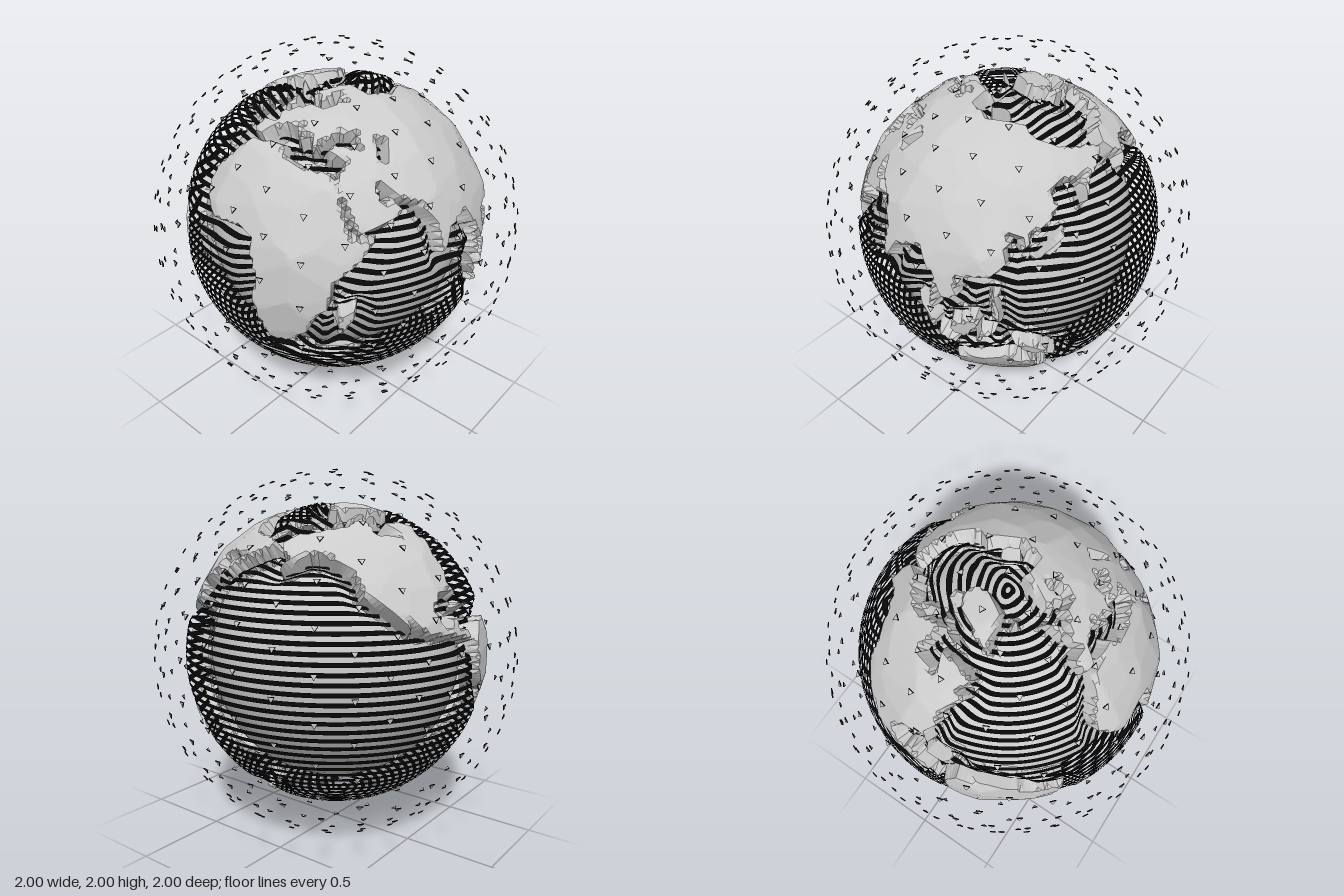
import * as THREE from 'three';
import { mergeGeometries, mergeVertices } from 'three/addons/utils/BufferGeometryUtils.js';

const RAD = Math.PI / 180;
const TILT = 16 * RAD, TOP = 0.83, FLOOR = 0.72, CORE = 0.69;

// Coastlines as longitude, latitude pairs
const LANDS = {
  africa: [-17, 15, -17, 21, -10, 30, -6, 35.5, 10, 37, 11, 33.5, 20, 31, 32, 31, 35, 27, 39, 18, 43, 11.5, 51, 12, 47, 4, 40, -4, 40, -15,
    35, -20, 35, -25, 31, -30, 26, -34, 19, -34.5, 15, -27, 12, -17, 13, -9, 9, 0, 9, 4, 5, 6, -8, 4.5, -13, 9],
  europe: [-9, 37, -9, 43, -1, 44, -4, 48, 4, 52, 9, 54, 9, 57, 11, 54, 20, 55, 24, 59, 30, 60, 22, 61, 25, 65, 18, 62, 17, 58, 13, 56,
    10, 59, 6, 58, 5, 62, 14, 68, 25, 71, 40, 67, 44, 66, 55, 69, 65, 69, 65, 40, 45, 37, 41, 42, 37, 45, 39, 47, 33, 45, 30, 46,
    28, 42, 23, 40, 24, 37.5, 22, 37, 19, 41, 13, 45, 18, 40, 16, 38, 10, 44, 4, 43, 0, 40, -2, 37],
  asia: [55, 69, 68, 69, 73, 72, 80, 73, 100, 77, 113, 74, 130, 72, 150, 71, 170, 70, 180, 69, 190, 66, 178, 63, 170, 60, 163, 58, 157, 51,
    156, 57, 163, 61, 155, 59, 142, 59, 136, 54, 141, 51, 135, 44, 129, 41, 129, 36, 126, 35, 125, 39, 118, 39, 122, 37, 120, 35,
    122, 30, 118, 24, 110, 21, 106, 20, 109, 13, 105, 9, 100, 13, 103, 2, 100, 5, 98, 16, 94, 17, 90, 22, 86, 20, 80, 15, 80, 10,
    77, 8, 73, 18, 70, 21, 66, 25, 57, 26, 50, 30, 48, 30, 52, 24, 56, 26, 60, 22, 52, 16, 44, 12.7, 39, 21, 34, 28, 34, 31,
    36, 36, 30, 36, 27, 38, 30, 41, 41, 41, 44, 46, 52, 52],
  northAmerica: [-168, 66, -156, 71, -140, 70, -125, 70, -110, 68, -95, 70, -82, 69, -88, 64, -94, 59, -82, 55, -79, 52, -77, 62, -66, 59,
    -56, 52, -66, 49, -60, 46, -70, 43, -74, 40, -76, 35, -81, 31, -80, 25.5, -83, 29, -90, 30, -97, 27, -97, 21, -94, 18, -90, 21,
    -87, 21, -88, 16, -83, 14, -82, 9, -77, 8.5, -80, 7.5, -86, 11, -95, 16, -105, 20, -112, 29, -110, 23, -117, 33, -124, 40,
    -124, 48, -133, 57, -145, 60, -152, 58, -164, 55, -158, 59, -165, 62],
  southAmerica: [-78, 8, -72, 12, -62, 10, -51, 4, -50, 0, -44, -2.5, -35, -6, -39, -15, -41, -22, -48, -26, -54, -34, -58, -38, -65, -42,
    -66, -48, -68, -54, -74, -52, -73, -40, -71, -30, -70, -18, -76, -14, -81, -5, -80, 0],
  greenland: [-45, 60, -53, 66, -55, 70, -68, 76, -60, 82, -30, 83, -18, 78, -22, 70, -38, 65],
  baffin: [-65, 62, -78, 72, -90, 74, -80, 70, -72, 65],
  ellesmere: [-90, 77, -75, 78, -62, 82, -85, 82],
  victoria: [-117, 70, -105, 69, -103, 73, -118, 73],
  australia: [114, -22, 122, -17, 130, -12, 136, -12, 135, -15, 140, -17.5, 142, -11, 146, -19, 153, -26, 150, -37, 144, -38.5,
    138, -34, 131, -31.5, 123, -34, 115, -34],
  newGuinea: [131, -1, 141, -3, 150, -10, 143, -8.5, 138, -8],
  borneo: [109, 1, 117, 7, 119, 4, 116, -4, 110, -3],
  sumatra: [95, 5.5, 104, -2, 105, -6, 100, -1],
  java: [105, -6, 114, -7, 114, -9, 106, -8],
  sulawesi: [119, -5, 120, 1, 125, 1.5, 121, -2, 122, -5],
  philippines: [120, 18, 122, 18, 126, 7, 122, 9],
  japan: [130, 32, 136, 36, 140, 41, 145, 44, 141, 36, 135, 34],
  madagascar: [44, -22, 44, -16, 49, -12, 50, -16, 47, -25],
  britain: [-5, 50, 1, 52, -2, 57, -5, 58.5],
  iceland: [-23, 65, -15, 66, -18, 63.5],
  newZealand: [167, -46, 173, -35, 178, -38, 171, -45],
  cuba: [-84, 22.5, -80, 23, -70, 19.5, -75, 19.5],
  arcticIsland: [52, 71, 56, 71, 68, 77, 60, 76],
  antarctica: [0, -70, 30, -69, 60, -67, 100, -66, 140, -67, 165, -71, 165, -100, 0, -100],
};
const INLAND_SEA = [48, 46, 53, 46, 53, 37, 49, 38];

// Signed distance in degrees to one outline, positive inside
function outlineDistance(lon, lat, pts) {
  const k = Math.max(0.05, Math.cos(lat * RAD));
  let inside = false, best = Infinity;
  for (let i = 0, j = pts.length - 2; i < pts.length; j = i, i += 2) {
    const ax = (pts[j] - lon) * k, ay = pts[j + 1] - lat;
    const dx = (pts[i] - pts[j]) * k, dy = pts[i + 1] - pts[j + 1];
    const t = Math.min(1, Math.max(0, -(ax * dx + ay * dy) / (dx * dx + dy * dy)));
    best = Math.min(best, (ax + t * dx) ** 2 + (ay + t * dy) ** 2);
    if ((ay > 0) !== (ay + dy > 0) && ax - ay * dx / dy > 0) inside = !inside;
  }
  return Math.sqrt(best) * (inside ? 1 : -1);
}

// Distance to the nearest coast from a direction on the tilted globe
function coastDistance(p) {
  const c = Math.cos(TILT), s = Math.sin(TILT);
  const y = p.y * c - p.z * s, z = p.z * c + p.y * s;
  const lat = Math.asin(Math.max(-1, Math.min(1, y))) / RAD, lon = Math.atan2(p.x, z) / RAD;
  let d = -Infinity;
  for (const pts of Object.values(LANDS)) d = Math.max(d, outlineDistance(lon, lat, pts));
  if (lon < -165) d = Math.max(d, outlineDistance(lon + 360, lat, LANDS.asia));
  return Math.min(d, -outlineDistance(lon, lat, INLAND_SEA));
}

// Faceted land with steep coasts
function landGeometry() {
  const facets = [];
  for (let i = 0; i < 420; i++) {
    const y = 1 - (2 * i + 1) / 420, r = Math.sqrt(1 - y * y), a = i * 2.39996 + 0.35 * Math.sin(i * 12.9);
    facets.push(new THREE.Vector3(r * Math.cos(a), y, r * Math.sin(a)));
  }
  const src = new THREE.IcosahedronGeometry(1, 44).attributes.position;
  const cache = new Map();
  const shape = (i) => {
    const p = new THREE.Vector3().fromBufferAttribute(src, i).normalize();
    const key = [p.x, p.y, p.z].map((v) => Math.round(v * 1e4)).join();
    if (!cache.has(key)) {
      const d = coastDistance(p);
      if (d > -4) {
        let m = 0;
        for (const f of facets) m = Math.max(m, f.dot(p));
        const rise = THREE.MathUtils.smoothstep(d, -1.2, 0.5);
        p.multiplyScalar(THREE.MathUtils.lerp(FLOOR, (TOP - 0.005) / m, rise));
      }
      cache.set(key, { d, p });
    }
    return cache.get(key);
  };
  const out = [];
  for (let i = 0; i < src.count; i += 3) {
    const tri = [shape(i), shape(i + 1), shape(i + 2)];
    if (Math.max(...tri.map((v) => v.d)) < -1.2 || Math.min(...tri.map((v) => v.d)) <= -4) continue;
    for (const v of tri) out.push(v.p.x, v.p.y, v.p.z);
  }
  const g = new THREE.BufferGeometry();
  g.setAttribute('position', new THREE.Float32BufferAttribute(out, 3));
  g.computeVertexNormals();
  return g;
}

// Level ocean bands that sink towards the coasts
function bandGeometry() {
  const BANDS = 56, STEPS = 180, pos = [], idx = [];
  for (let b = 0; b < BANDS; b++) {
    const start = pos.length / 3, dist = [];
    for (let i = 0; i <= STEPS; i++) {
      const a = (i / STEPS) * Math.PI * 2;
      for (const e of [0.25, 0.75]) {
        const t = ((b + e) / BANDS) * Math.PI;
        const p = new THREE.Vector3(Math.sin(t) * Math.sin(a), Math.cos(t), Math.sin(t) * Math.cos(a));
        const d = coastDistance(p);
        dist.push(d);
        p.multiplyScalar(TOP - 0.075 * (1 - THREE.MathUtils.smoothstep(-d, 0.5, 8)));
        pos.push(p.x, p.y, p.z);
      }
    }
    for (let i = 0; i < STEPS; i++) {
      const k = 2 * i, q = start + k;
      if (Math.max(dist[k], dist[k + 1], dist[k + 2], dist[k + 3]) > 0.5) continue;
      idx.push(q, q + 1, q + 2, q + 2, q + 1, q + 3);
    }
  }
  const g = new THREE.BufferGeometry();
  g.setAttribute('position', new THREE.Float32BufferAttribute(pos, 3));
  g.setIndex(idx);
  g.computeVertexNormals();
  return g;
}

// Copies one small part over the outer shell, apex down
function scatter(part) {
  const ball = new THREE.IcosahedronGeometry(1, 5);
  ball.deleteAttribute('normal');
  ball.deleteAttribute('uv');
  const pts = mergeVertices(ball, 1e-3).attributes.position, copies = [];
  for (let i = 0; i < pts.count; i++) {
    const n = new THREE.Vector3().fromBufferAttribute(pts, i).normalize();
    const east = new THREE.Vector3(n.z + 1e-6, 0, -n.x).normalize();
    const south = new THREE.Vector3().crossVectors(east, n);
    const m = new THREE.Matrix4().makeBasis(east, n, south).setPosition(n.multiplyScalar(0.996));
    copies.push(part.clone().applyMatrix4(m));
  }
  return mergeGeometries(copies);
}

export function createModel() {
  const group = new THREE.Group();
  const grey = new THREE.MeshStandardMaterial({ color: 0xcccccc });
  const facet = new THREE.MeshStandardMaterial({ color: 0xcccccc, flatShading: true, side: THREE.DoubleSide });
  const black = new THREE.MeshStandardMaterial({ color: 0x080808, side: THREE.DoubleSide });
  const add = (name, geometry, material) => {
    const mesh = new THREE.Mesh(geometry, material);
    mesh.name = name;
    mesh.position.y = 1;
    group.add(mesh);
  };
  add('core', new THREE.SphereGeometry(CORE, 64, 40), grey);
  add('continents', landGeometry(), facet);
  add('oceanBands', bandGeometry(), black);

  // Outer shell of small three-sided chips with dark rims
  const cap = new THREE.CylinderGeometry(0.015, 0.015, 0.007, 3);
  const rim = new THREE.CylinderGeometry(0.019, 0.019, 0.005, 3);
  add('chipFaces', scatter(cap), facet);
  add('chipRims', scatter(rim), black);
  return group;
}
